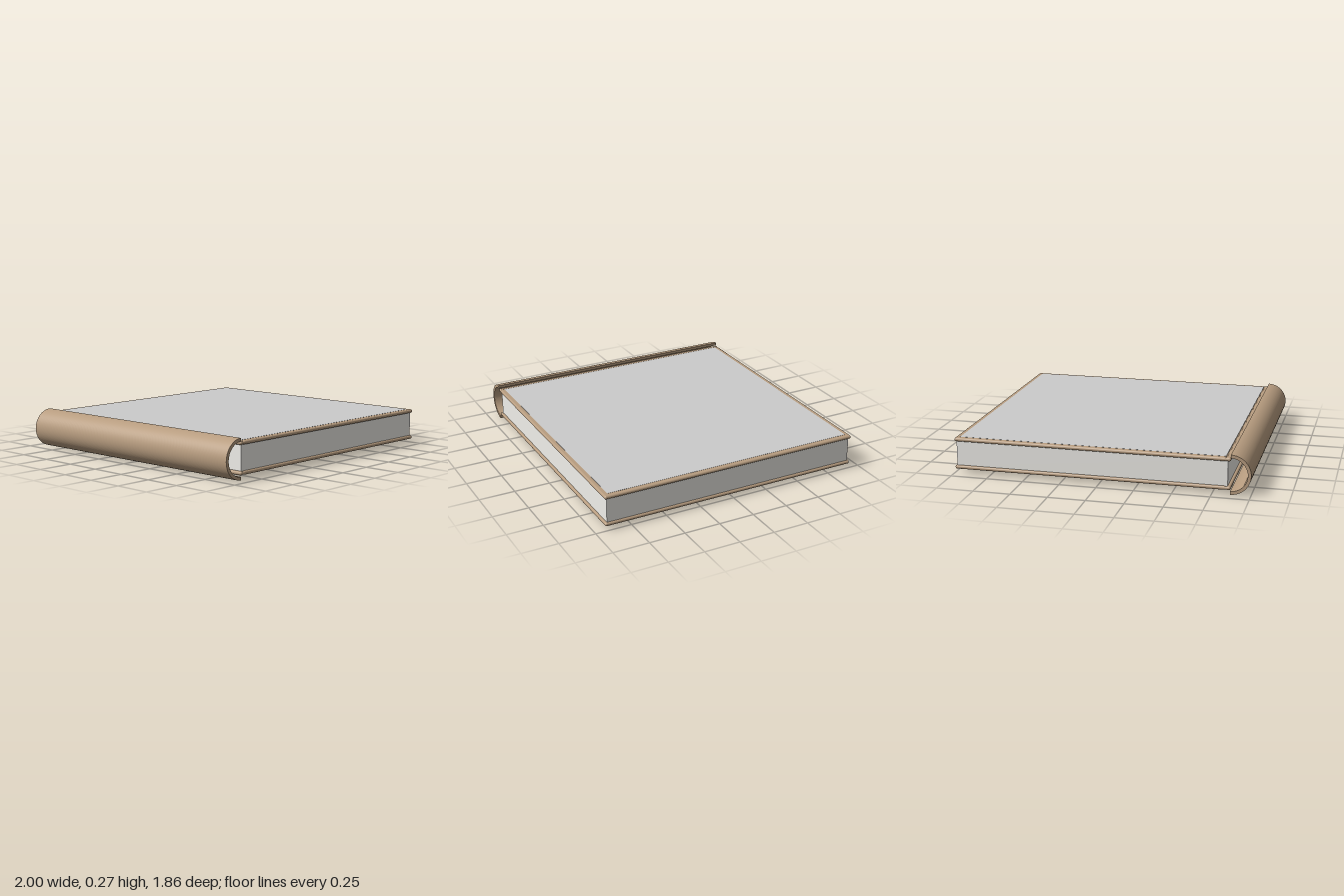
import * as THREE from 'three';
import { RoundedBoxGeometry } from 'three/addons/geometries/RoundedBoxGeometry.js';

const brown = new THREE.MeshStandardMaterial({ color: 0xb89d80 });
const paper = new THREE.MeshStandardMaterial({ color: 0xf0efea });
const grey = new THREE.MeshStandardMaterial({ color: 0xcccccc });

const MID_Y = 0.133;   // half the total height
const HALF_Z = 0.93;

export function createModel() {
  const book = new THREE.Group();
  book.name = 'book';

  function add(parent, name, geometry, material, x, y, z = 0) {
    const mesh = new THREE.Mesh(geometry, material);
    mesh.name = name;
    mesh.position.set(x, y, z);
    parent.add(mesh);
    return mesh;
  }

  // block of pages, slightly inset from the covers
  add(book, 'pages', new THREE.BoxGeometry(1.833, 0.18, 1.83), paper, 0.0685, MID_Y + 0.003);

  // two boards, each with a rounded rim and a hinge groove next to the spine
  for (const [name, side] of [['frontCover', 1], ['backCover', -1]]) {
    const cover = new THREE.Group();
    cover.name = name;
    cover.position.y = MID_Y + 0.003 + side * 0.096;
    book.add(cover);

    const board = (part, x0, x1, thickness) => add(cover, part,
      new RoundedBoxGeometry(x1 - x0, thickness, HALF_Z * 2, 4, thickness * 0.48),
      brown, (x0 + x1) / 2, 0);
    board('board', -0.838, 0.997, 0.025);
    board('hingeStrip', -0.868, -0.838, 0.025);
    board('hingeGroove', -0.862, -0.8, 0.019);
  }

  // thin sheet on the front cover, leaving a border all round
  add(book, 'coverPanel', new THREE.BoxGeometry(1.797, 0.004, 1.796), grey, 0.0665, 0.2435);

  // hollow half-round spine
  const arc = new THREE.Shape();
  arc.absarc(0, 0, 0.133, Math.PI / 2, Math.PI * 1.5, false);
  arc.absarc(0, 0, 0.111, Math.PI * 1.5, Math.PI / 2, true);
  arc.closePath();
  const spine = new THREE.ExtrudeGeometry(arc, { depth: HALF_Z * 2, bevelEnabled: false, curveSegments: 32 });
  add(book, 'spine', spine, brown, -0.867, MID_Y, -HALF_Z);

  return book;
}
